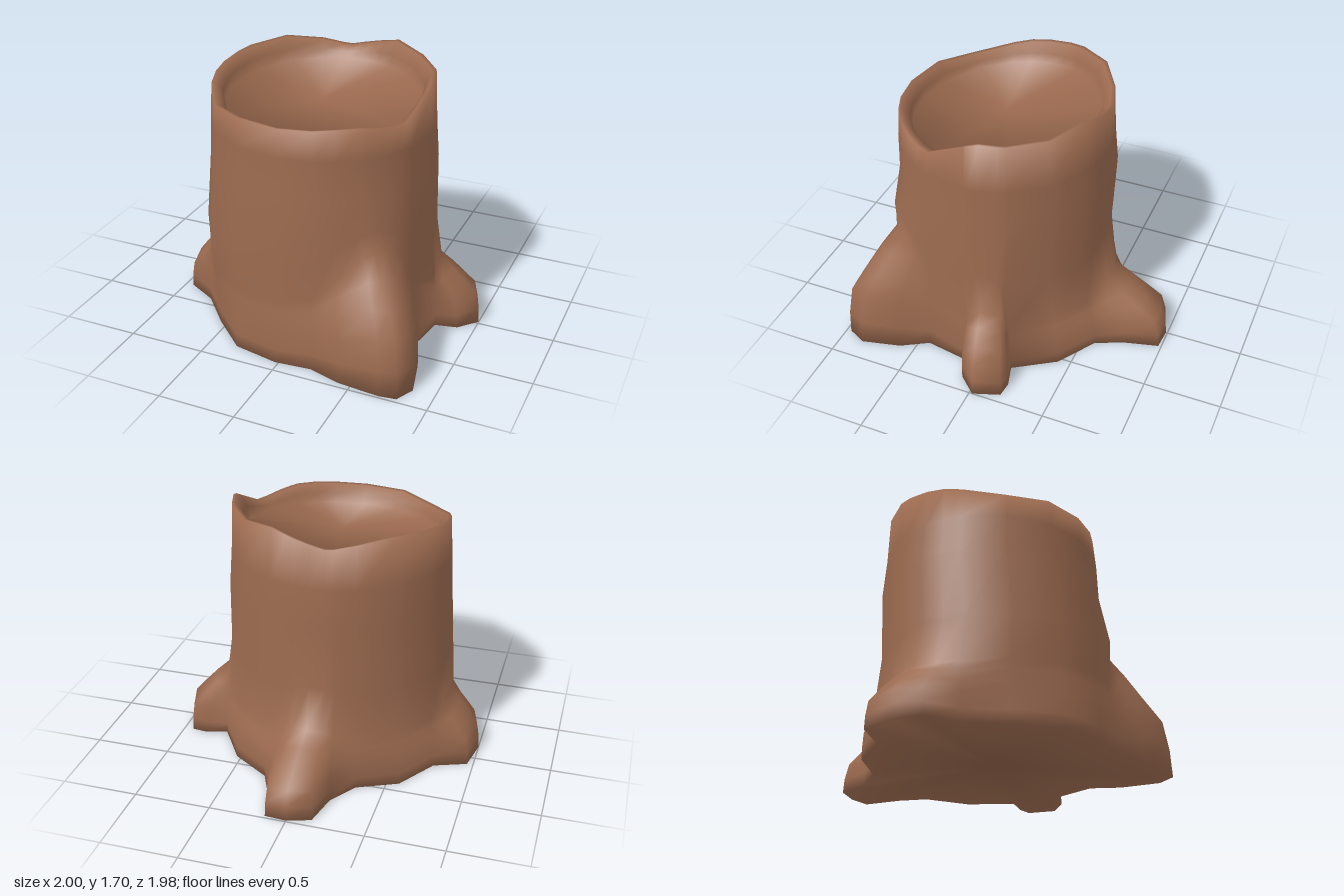
import * as THREE from 'three';
import { mergeVertices } from 'three/addons/utils/BufferGeometryUtils.js';

const CX = -0.025, CZ = 0.165; // trunk axis

// Ground outline, in order of angle: x, z, height at which the flare meets the trunk
const OUTLINE = [
  // right-hand small root
  [0.70, -0.16, 0.30], [0.84, -0.20, 0.36], [0.94, -0.19, 0.43], [1.00, -0.02, 0.46], [0.89, 0.10, 0.42], [0.75, 0.13, 0.36],
  // tall rounded front root
  [0.70, 0.43, 0.52], [0.80, 0.60, 0.70], [0.86, 0.85, 0.77], [0.80, 0.97, 0.78], [0.69, 0.985, 0.76], [0.42, 0.96, 0.62],
  // front flare
  [0.21, 0.90, 0.47], [-0.02, 0.92, 0.42], [-0.32, 0.86, 0.42], [-0.55, 0.65, 0.40],
  // wide side root
  [-0.75, 0.43, 0.38], [-0.95, 0.32, 0.38], [-1.00, 0.14, 0.41], [-0.96, -0.08, 0.38], [-0.75, -0.16, 0.34], [-0.58, -0.42, 0.35],
  // back root
  [-0.32, -0.54, 0.32], [-0.20, -0.72, 0.36], [-0.15, -0.94, 0.40], [0.00, -0.99, 0.41], [0.14, -0.98, 0.40], [0.20, -0.75, 0.36],
  [0.28, -0.58, 0.32], [0.53, -0.42, 0.35],
];

// Broken rim height every 30 degrees, from +x towards +z, starting at 22 degrees
const RIM = [1.505, 1.555, 1.535, 1.54, 1.515, 1.60, 1.65, 1.68, 1.61, 1.70, 1.66, 1.68];

function rimHeight(angle) {
  const t = (THREE.MathUtils.radToDeg(angle) - 22 + 720) / 30;
  const i = Math.floor(t);
  return THREE.MathUtils.lerp(RIM[i % 12], RIM[(i + 1) % 12], t - i);
}

// Point on a slightly oval trunk ring, with an optional lean in z
const onRing = (a, r, y, lean = 0) =>
  new THREE.Vector3(CX + (r + 0.015) * Math.cos(a), y, CZ + lean + (r - 0.015) * Math.sin(a));

// One vertical section: underside, root flare, trunk, rim, shallow hollow
function section([x, z, h]) {
  const a = Math.atan2(z - CZ, x - CX);
  const top = rimHeight(a);
  const floor = 1.48 - 0.06 * Math.sin(a);
  const pts = [new THREE.Vector3(CX, 0, CZ)];
  for (const [t, w] of [[0, 1], [0.22, 0.98], [0.47, 0.90], [0.66, 0.63], [0.84, 0.36], [1, 0.08]]) {
    pts.push(onRing(a, 0.735, h * t).lerp(new THREE.Vector3(x, h * t, z), w));
  }
  pts.push(onRing(a, 0.73, h + (1.1 - h) * 0.4, 0.03));
  pts.push(onRing(a, 0.71, 1.12, -0.01));
  pts.push(onRing(a, 0.695, 1.36));
  pts.push(onRing(a, 0.68, top));
  pts.push(onRing(a, 0.655, top - 0.005));
  pts.push(onRing(a, 0.61, (top + floor) / 2));
  pts.push(onRing(a, 0.60, floor));
  pts.push(new THREE.Vector3(CX, 1.48, CZ));
  return pts;
}

// Soft normals in which every face around a corner counts the same
function softNormals(g) {
  const { position } = g.attributes, idx = g.index.array;
  const sum = Array.from({ length: position.count }, () => new THREE.Vector3());
  const tri = new THREE.Triangle(), n = new THREE.Vector3();
  for (let i = 0; i < idx.length; i += 3) {
    tri.setFromAttributeAndIndices(position, idx[i], idx[i + 1], idx[i + 2]).getNormal(n);
    for (let k = 0; k < 3; k++) sum[idx[i + k]].add(n);
  }
  const normals = sum.flatMap((v) => v.normalize().toArray());
  g.setAttribute('normal', new THREE.Float32BufferAttribute(normals, 3));
  return g;
}

// Skin a closed loop of sections whose ends meet on the axis
function skin(sections) {
  const n = sections.length, m = sections[0].length;
  const position = [], index = [];
  sections.forEach((s) => s.forEach((p) => position.push(p.x, p.y, p.z)));
  for (let i = 0; i < n; i++) {
    for (let j = 0; j < m - 1; j++) {
      const a = i * m + j, b = ((i + 1) % n) * m + j;
      if (j > 0) index.push(a, a + 1, b);
      if (j < m - 2) index.push(b, a + 1, b + 1);
    }
  }
  const g = new THREE.BufferGeometry();
  g.setAttribute('position', new THREE.Float32BufferAttribute(position, 3));
  g.setIndex(index);
  return softNormals(mergeVertices(g));
}

export function createModel() {
  const group = new THREE.Group();
  group.name = 'treeStump';
  const bark = new THREE.MeshStandardMaterial({ color: 0x9b6a4f });
  const trunk = new THREE.Mesh(skin(OUTLINE.map(section)), bark);
  trunk.name = 'trunkAndRoots';
  group.add(trunk);
  return group;
}
